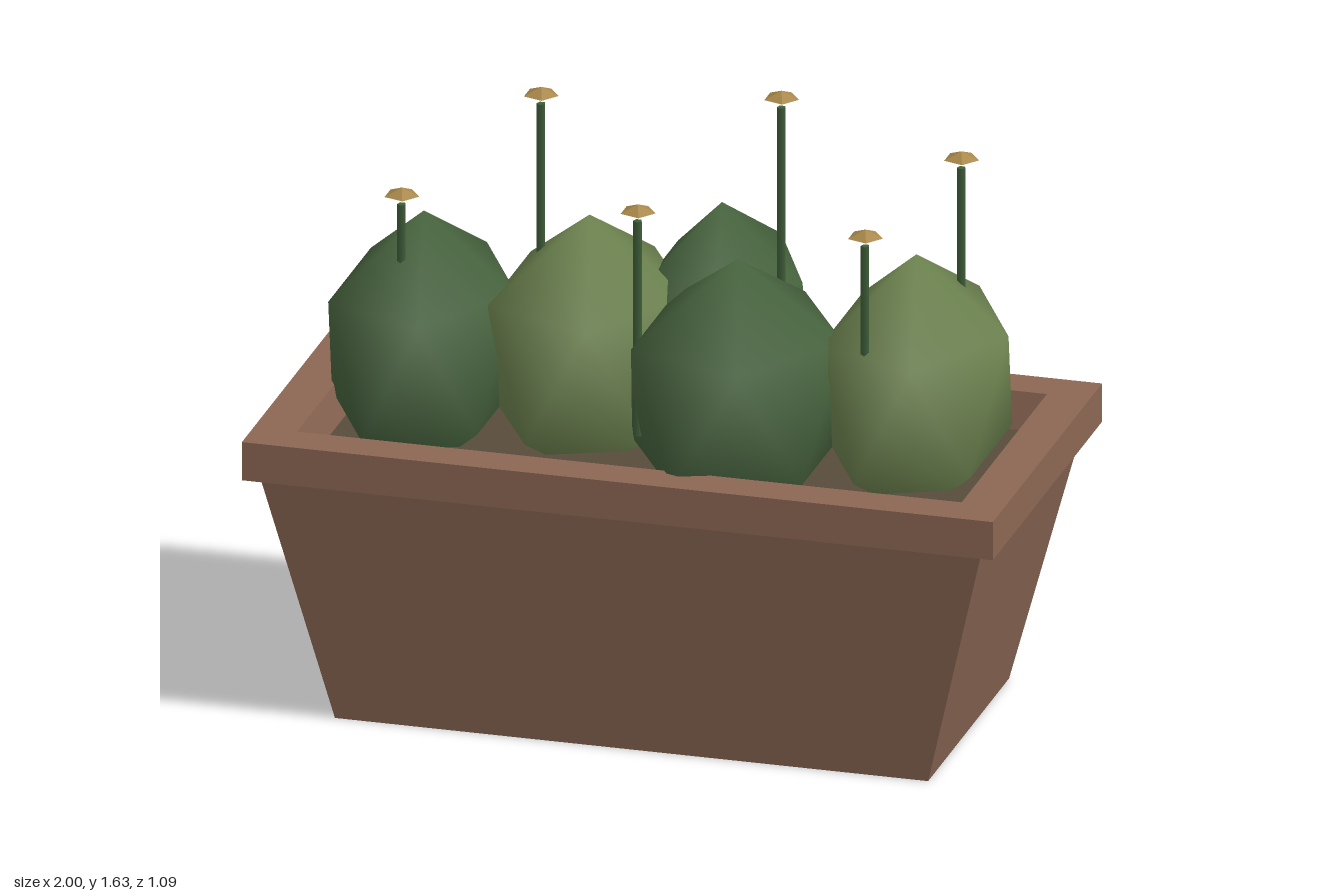
import * as THREE from 'three';

const mat = (name, color) => {
  const m = new THREE.MeshStandardMaterial({ color });
  m.name = name;
  return m;
};

function indexed(positions, index) {
  const g = new THREE.BufferGeometry();
  g.setAttribute('position', new THREE.Float32BufferAttribute(positions, 3));
  g.setIndex(index);
  return g;
}

// Rectangular loft through [halfWidth, height, halfDepth] sections, closed underneath
function rectLoft(sections) {
  const corners = [[1, 1], [1, -1], [-1, -1], [-1, 1]];
  const pos = [], idx = [];
  for (const [w, y, d] of sections)
    for (const [sx, sz] of corners) pos.push(w * sx, y, d * sz);
  for (let s = 0; s < sections.length - 1; s++)
    for (let k = 0; k < 4; k++) {
      const a = s * 4 + k, b = s * 4 + (k + 1) % 4;
      idx.push(a, b, b + 4, a, b + 4, a + 4);
    }
  idx.push(0, 2, 1, 0, 3, 2);
  const g = indexed(pos, idx).toNonIndexed();
  g.computeVertexNormals();
  return g;
}

// Smooth twenty-sided ball standing on a point: two staggered rings of five
function bushGeometry() {
  const h = 1 / Math.sqrt(5), r = 2 * h;
  const pos = [0, 1, 0, 0, -1, 0], idx = [];
  for (let ring = 0; ring < 2; ring++)
    for (let k = 0; k < 5; k++) {
      const a = (k + ring / 2) * Math.PI * 0.4;
      pos.push(r * Math.cos(a), ring ? -h : h, r * Math.sin(a));
    }
  for (let k = 0; k < 5; k++) {
    const n = (k + 1) % 5, u = 2 + k, u2 = 2 + n, l = 7 + k, l2 = 7 + n;
    idx.push(0, u2, u, u, u2, l, l, u2, l2, 1, l, l2);
  }
  const g = indexed(pos, idx);
  g.computeVertexNormals();
  return g;
}

export function createModel() {
  const model = new THREE.Group();
  model.name = 'planterBox';
  const terracotta = mat('terracotta', 0x8c6753);
  const earth = mat('earth', 0x584c3b);
  const darkLeaf = mat('darkLeaf', 0x48653f);
  const lightLeaf = mat('lightLeaf', 0x6e8450);
  const stemGreen = mat('stemGreen', 0x3f5e3a);
  const petal = mat('petal', 0xa88748);

  const add = (name, geometry, material, x, y, z) => {
    const m = new THREE.Mesh(geometry, material);
    m.name = name;
    m.position.set(x, y, z);
    model.add(m);
    return m;
  };

  // Tapered trough with overhanging rim and inner lip
  add('trough', rectLoft([
    [0.79, 0, 0.372], [0.96, 0.68, 0.472], [1, 0.68, 0.502],
    [1, 0.785, 0.502], [0.885, 0.785, 0.392], [0.865, 0.67, 0.372],
  ]), terracotta, 0, 0, 0.038);

  // Soil surface
  add('soil', new THREE.BoxGeometry(1.74, 0.04, 0.752), earth, 0, 0.665, 0.038);

  // Bushes: x, z, half width, material
  const bush = bushGeometry();
  [
    [-0.66, 0.04, 0.274, darkLeaf],
    [-0.245, -0.05, 0.295, lightLeaf],
    [0.056, -0.228, 0.24, darkLeaf],
    [0.206, 0.143, 0.315, darkLeaf],
    [0.635, -0.018, 0.274, lightLeaf],
  ].forEach(([x, z, w, m], i) => {
    add('bush' + (i + 1), bush, m, x, 0.91, z).scale.set(w, 0.36, 0.373);
  });

  // Flowers: x, z, stem top
  const base = 0.8;
  const head = new THREE.ConeGeometry(0.047, 0.02, 5).toNonIndexed();
  head.computeVertexNormals();
  head.rotateY(Math.PI / 2);
  [
    [-0.685, 0.158, 1.33], [-0.4, -0.14, 1.525], [-0.03, 0.248, 1.39],
    [0.24, -0.14, 1.585], [0.567, 0.218, 1.375], [0.715, -0.155, 1.465],
  ].forEach(([x, z, top], i) => {
    const stem = new THREE.CylinderGeometry(0.012, 0.012, top - base, 5);
    add('stem' + (i + 1), stem, stemGreen, x, (top + base) / 2, z);
    add('flower' + (i + 1), head, petal, x, top + 0.035, z);
  });

  return model;
}
